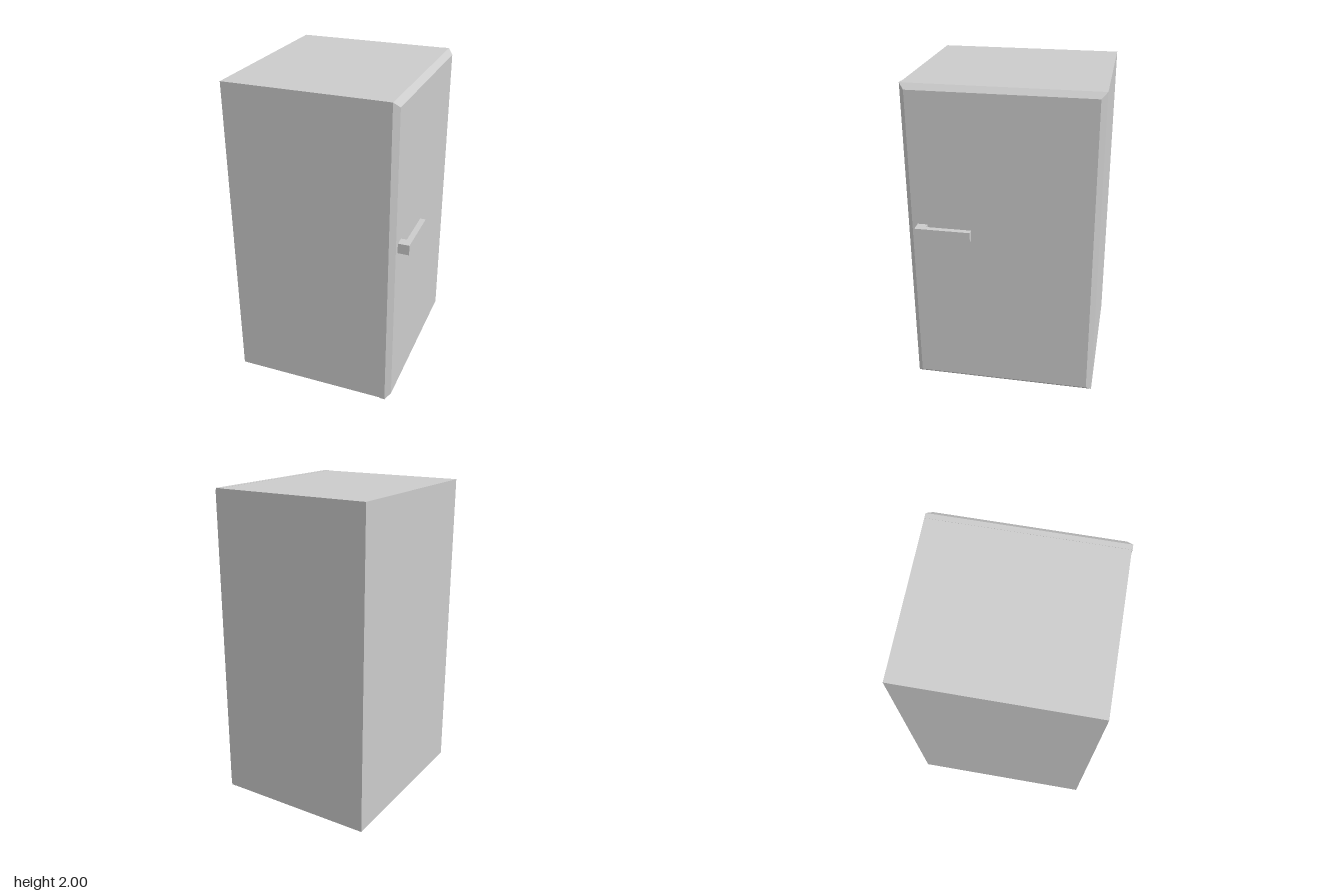
import * as THREE from 'three';

const material = new THREE.MeshStandardMaterial({ color: 0xcccccc, flatShading: true });

function addPart(group, name, geometry) {
  const mesh = new THREE.Mesh(geometry, material);
  mesh.name = name;
  group.add(mesh);
}

// Slab whose outer (+x) half tapers inwards to a smaller front face
function bevelledDoor(thickness, height, width, inset) {
  const geometry = new THREE.BoxGeometry(thickness, height, width, 2, 1, 1);
  const p = geometry.attributes.position;
  for (let i = 0; i < p.count; i++) {
    if (p.getX(i) < thickness / 4) continue;
    p.setY(i, p.getY(i) - Math.sign(p.getY(i)) * inset);
    p.setZ(i, p.getZ(i) - Math.sign(p.getZ(i)) * inset);
  }
  const flat = geometry.toNonIndexed();
  flat.computeVertexNormals();
  return flat;
}

export function createModel() {
  const model = new THREE.Group();
  model.name = 'cabinet';

  // Cabinet body
  addPart(model, 'body', new THREE.BoxGeometry(0.988, 1.998, 1.17).translate(-0.07, 1, -0.002));

  // Door on the +x side
  addPart(model, 'door', bevelledDoor(0.066, 2, 1.174, 0.033).translate(0.457, 1, 0));

  // L-shaped handle: short stub from the door, then a long bar
  const outline = [[0.488, 0.52], [0.56, 0.52], [0.56, 0.178], [0.525, 0.178], [0.525, 0.457], [0.488, 0.457]];
  const shape = new THREE.Shape(outline.map(([x, z]) => new THREE.Vector2(x, -z)));
  const handle = new THREE.ExtrudeGeometry(shape, { depth: 0.064, bevelEnabled: false });
  handle.rotateX(-Math.PI / 2).translate(0, 1.07, 0);
  addPart(model, 'handle', handle);

  return model;
}
